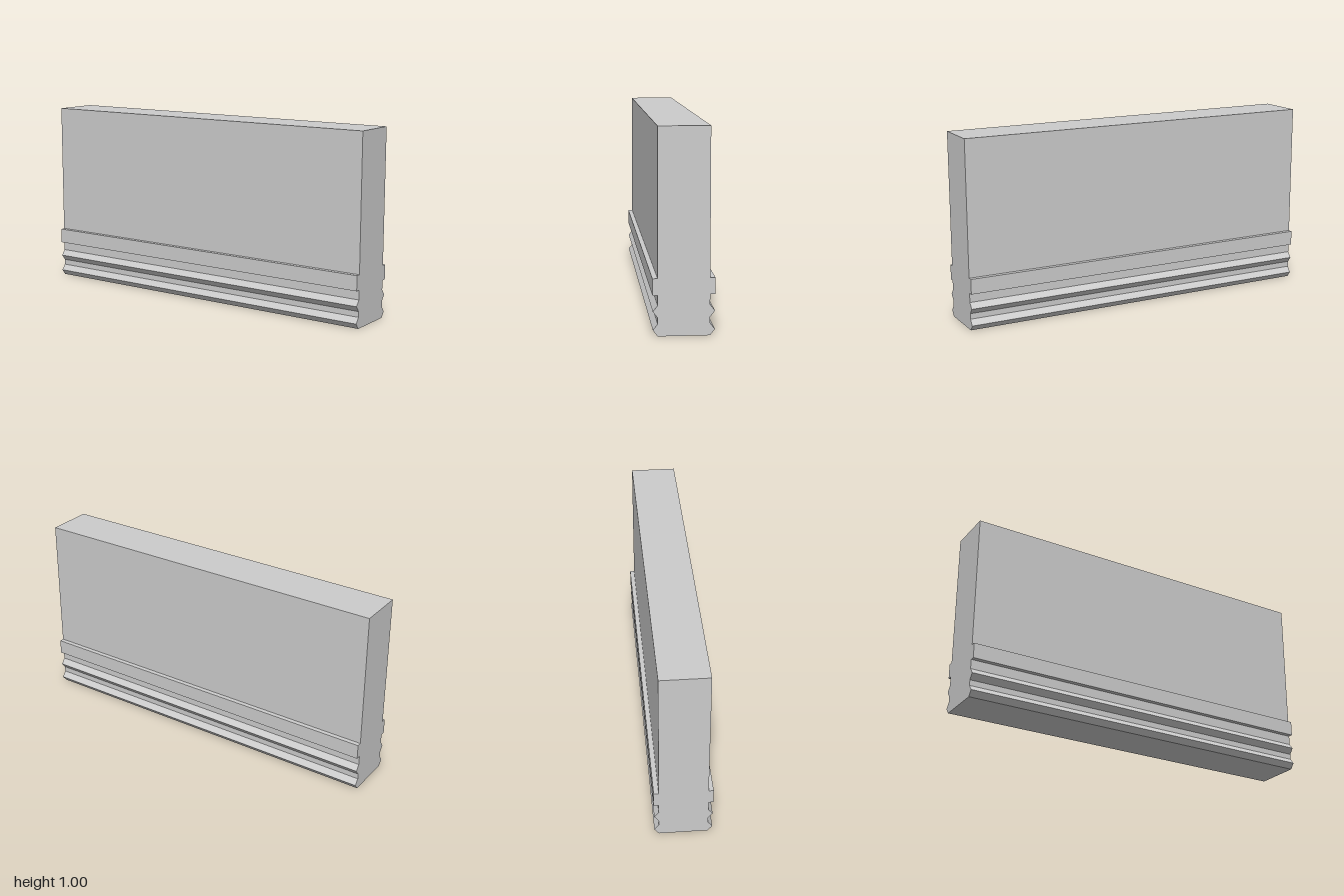
import * as THREE from 'three';

export function createModel() {
  const group = new THREE.Group();
  group.name = 'mouldedWall';

  // Right half of the cross-section, bottom to top
  const half = [
    [0.125, 0], [0.148, 0.03], [0.125, 0.06],    // lower V ridge
    [0.125, 0.09], [0.148, 0.12], [0.125, 0.15], // upper V ridge
    [0.125, 0.2], [0.15, 0.2], [0.15, 0.28], [0.125, 0.28], // square band
    [0.125, 1],                                  // plain wall
  ];
  const mirrored = half.map(([x, y]) => [-x, y]).reverse();
  const profile = new THREE.Shape([...half, ...mirrored].map(([x, y]) => new THREE.Vector2(x, y)));

  // Wall with its mouldings, run along z
  const length = 2;
  const geometry = new THREE.ExtrudeGeometry(profile, { depth: length, bevelEnabled: false });
  geometry.translate(0, 0, -length / 2);

  const wall = new THREE.Mesh(
    geometry,
    new THREE.MeshStandardMaterial({ color: 0xcccccc, flatShading: true }),
  );
  wall.name = 'wallWithBaseMoulding';
  group.add(wall);
  return group;
}
